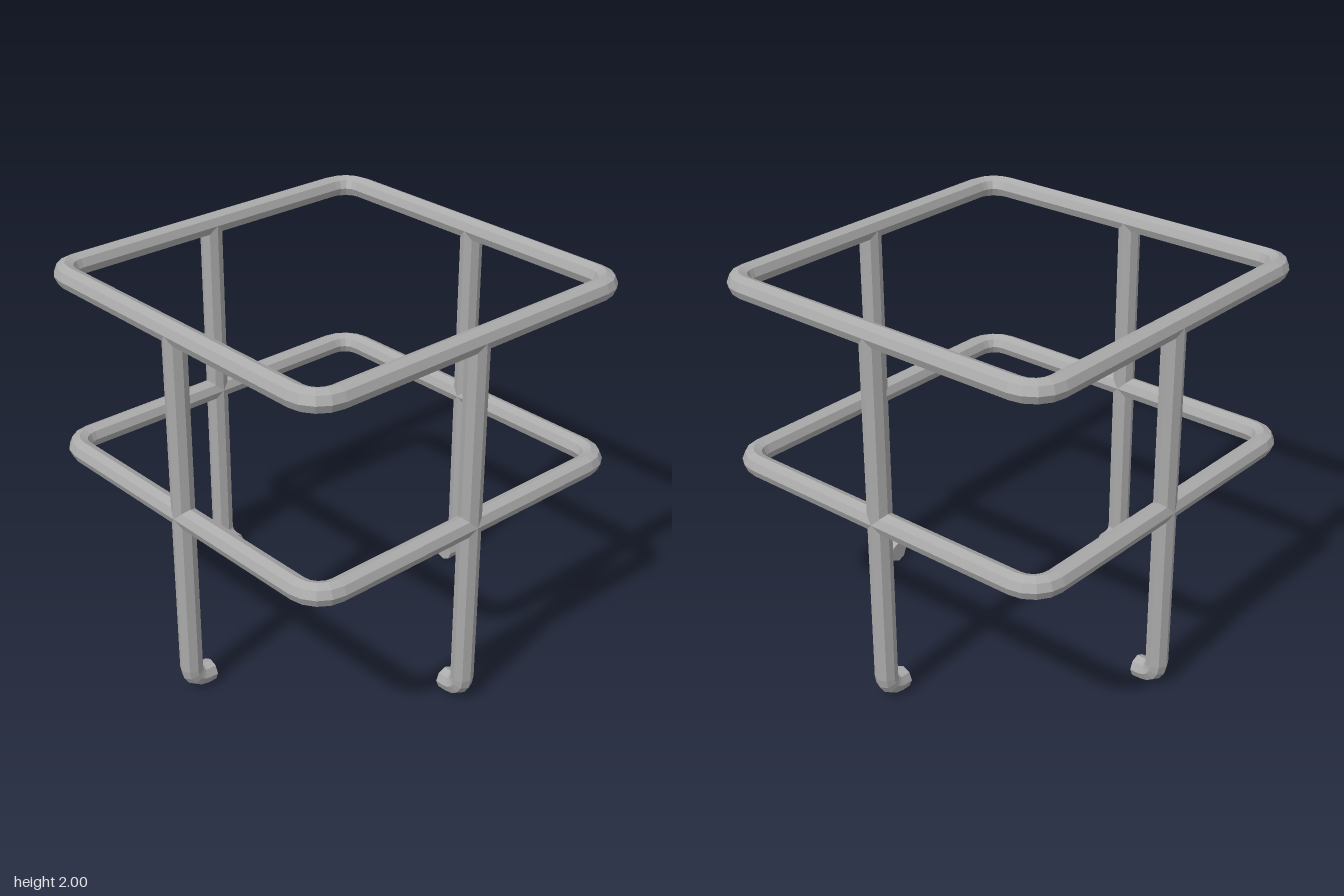
import * as THREE from 'three';

const R = 0.057;          // bar radius
const SIDES = 8;
const C = 1 - R;          // bar centre line distance from the middle

const V = (x, y, z) => new THREE.Vector3(x, y, z);

// Adds a rounded corner: points with tangents, turning from direction d0 to d1
function corner(path, at, d0, d1, radius, steps) {
  const centre = at.clone().addScaledVector(d0, -radius).addScaledVector(d1, radius);
  for (let i = 0; i <= steps; i++) {
    const a = (i / steps) * Math.PI / 2, c = Math.cos(a), s = Math.sin(a);
    path.push({
      p: centre.clone().addScaledVector(d1, -radius * c).addScaledVector(d0, radius * s),
      t: d0.clone().multiplyScalar(c).addScaledVector(d1, s),
    });
  }
}

// Sweeps an eight-sided section along a planar path with plane normal b
function sweepBar(path, b, closed) {
  const rings = path.map(({ p, t }) => {
    const n = t.clone().cross(b);
    return Array.from({ length: SIDES }, (_, k) => {
      const a = (k / SIDES) * Math.PI * 2;
      return p.clone().addScaledVector(n, R * Math.cos(a)).addScaledVector(b, R * Math.sin(a));
    });
  });
  const pts = [];
  const count = closed ? rings.length : rings.length - 1;
  for (let i = 0; i < count; i++) {
    const A = rings[i], B = rings[(i + 1) % rings.length];
    for (let k = 0; k < SIDES; k++) {
      const m = (k + 1) % SIDES;
      pts.push(A[k], B[k], A[m], A[m], B[k], B[m]);
    }
  }
  if (!closed) {
    const last = rings.length - 1;
    for (let k = 0; k < SIDES; k++) {
      const m = (k + 1) % SIDES;
      pts.push(path[0].p, rings[0][k], rings[0][m]);
      pts.push(path[last].p, rings[last][m], rings[last][k]);
    }
  }
  const geometry = new THREE.BufferGeometry().setFromPoints(pts);
  geometry.computeVertexNormals(); // unshared corners give flat facets
  return geometry;
}

export function createModel() {
  const group = new THREE.Group();
  group.name = 'barFrame';
  const metal = new THREE.MeshStandardMaterial({ color: 0xaaaaaa });
  metal.name = 'grey metal';

  // Square hoops with rounded corners
  const hoopPath = [];
  const dirs = [V(1, 0, 0), V(0, 0, -1), V(-1, 0, 0), V(0, 0, 1)];
  const corners = [V(C, 0, C), V(C, 0, -C), V(-C, 0, -C), V(-C, 0, C)];
  corners.forEach((at, i) => corner(hoopPath, at, dirs[i], dirs[(i + 1) % 4], 0.125, 4));
  const hoopGeometry = sweepBar(hoopPath, V(0, 1, 0), true);
  for (const [name, y] of [['topHoop', 2 - R], ['middleHoop', 1.003]]) {
    const hoop = new THREE.Mesh(hoopGeometry, metal);
    hoop.name = name;
    hoop.position.y = y;
    group.add(hoop);
  }

  // Upright legs, each hooked inwards at the foot
  const down = V(0, -1, 0), inward = V(0, 0, -1);
  const legPath = [{ p: V(0, 2 - R, C), t: down }];
  corner(legPath, V(0, R + 0.002, C), down, inward, 0.07, 4);
  legPath.push({ p: V(0, R + 0.002, 0.825), t: inward });
  const legGeometry = sweepBar(legPath, V(1, 0, 0), false);
  ['frontLeg', 'leftLeg', 'backLeg', 'rightLeg'].forEach((name, i) => {
    const leg = new THREE.Mesh(legGeometry, metal);
    leg.name = name;
    leg.rotation.y = i * Math.PI / 2;
    group.add(leg);
  });

  return group;
}
